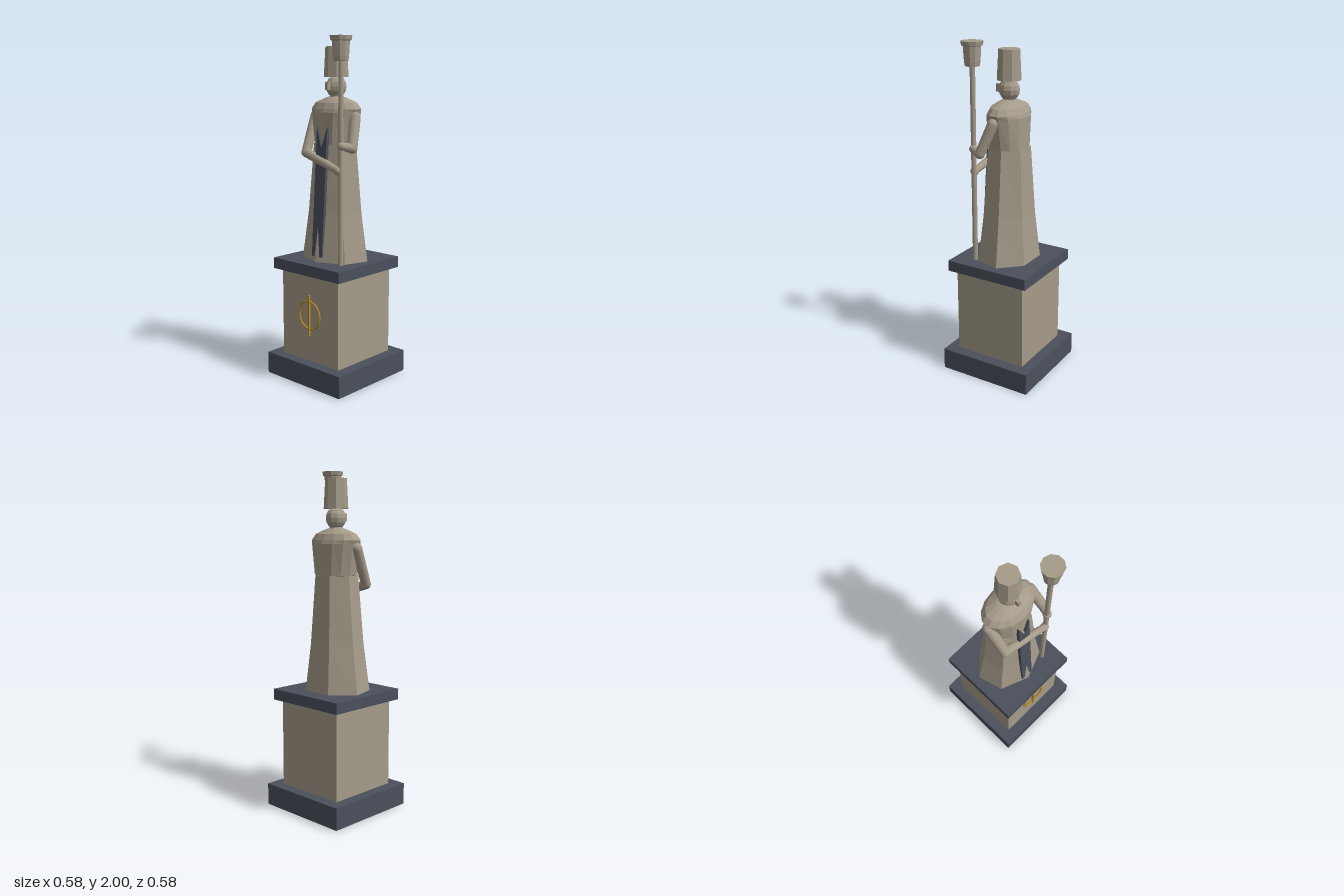
import * as THREE from 'three';

const stone = new THREE.MeshStandardMaterial({ color: 0xa59b8a });
stone.name = 'stone';
const slate = new THREE.MeshStandardMaterial({ color: 0x4b505c });
slate.name = 'slate';
const gold = new THREE.MeshStandardMaterial({ color: 0xb48a2a });
gold.name = 'gold';

// Faceted normals
function facet(geometry) {
  const g = geometry.index ? geometry.toNonIndexed() : geometry;
  g.computeVertexNormals();
  return g;
}

// Stacked elliptical rings [y, radius x, radius z], first corner facing +z
function rings(list, sides) {
  const g = new THREE.LatheGeometry(list.map(([y, rx]) => new THREE.Vector2(rx, y)), sides);
  const p = g.attributes.position;
  for (let i = 0; i < p.count; i++) {
    const [, rx, rz = rx] = list[i % list.length];
    if (rx > 0) p.setZ(i, p.getZ(i) * rz / rx);
  }
  return facet(g);
}

export function createModel() {
  const model = new THREE.Group();
  model.name = 'statue';

  function add(parent, name, geometry, material, x = 0, y = 0, z = 0) {
    const mesh = new THREE.Mesh(geometry, material);
    mesh.name = name;
    mesh.position.set(x, y, z);
    parent.add(mesh);
    return mesh;
  }
  function group(name) {
    const g = new THREE.Group();
    g.name = name;
    model.add(g);
    return g;
  }

  // Pedestal
  const pedestal = group('pedestal');
  const slab = (name, size, y0, y1, mat) =>
    add(pedestal, name, new THREE.BoxGeometry(size, y1 - y0, size), mat, 0, (y0 + y1) / 2, 0);
  slab('plinth', 0.585, 0, 0.13, slate);
  slab('block', 0.45, 0.13, 0.655, stone);
  slab('topSlab', 0.526, 0.655, 0.72, slate);

  // Ring and bar ornament on the front of the block
  const ornament = group('ornament');
  add(ornament, 'ornamentRing', new THREE.TorusGeometry(0.083, 0.006, 8, 32), gold, 0, 0.41, 0.23);
  add(ornament, 'ornamentBar', new THREE.BoxGeometry(0.011, 0.245, 0.014), gold, 0, 0.408, 0.231);

  // Robe, chest and shoulders
  const figure = group('figure');
  add(figure, 'robe', rings([
    [0.72, 0, 0], [0.72, 0.217, 0.177], [1.0, 0.174, 0.147], [1.4, 0.135, 0.122], [1.4, 0, 0],
  ], 7), stone);
  add(figure, 'chest', rings([
    [1.36, 0, 0], [1.4, 0.135, 0.112], [1.58, 0.163, 0.113], [1.6, 0.17, 0.106],
    [1.635, 0.142, 0.088], [1.662, 0.07, 0.05], [1.68, 0, 0],
  ], 14), stone);

  // Stole hanging down the front, notched at both ends
  const outline = [[-0.04, 1.5], [-0.04, 0.75], [-0.012, 0.75], [0, 0.9],
    [0.012, 0.75], [0.04, 0.75], [0.04, 1.5], [0, 1.38]];
  const stole = new THREE.ExtrudeGeometry(
    new THREE.Shape(outline.map(([x, y]) => new THREE.Vector2(x, y))),
    { depth: 0.02, bevelEnabled: false });
  const sp = stole.attributes.position;
  for (let i = 0; i < sp.count; i++) {
    const t = (sp.getY(i) - 0.75) / 0.75;
    sp.setZ(i, sp.getZ(i) - 0.02 + 0.166 - 0.047 * t);
  }
  add(figure, 'stole', facet(stole), slate);

  // Head, nose and tall hat
  add(figure, 'neck', new THREE.CylinderGeometry(0.035, 0.04, 0.04, 8), stone, 0, 1.67, 0);
  const head = facet(new THREE.SphereGeometry(0.058, 10, 8));
  head.scale(1, 1.12, 1.08);
  add(figure, 'head', facet(head), stone, 0, 1.725, 0);
  add(figure, 'nose', new THREE.BoxGeometry(0.02, 0.045, 0.03), stone, 0, 1.728, 0.067);
  add(figure, 'hat', rings([
    [1.778, 0], [1.778, 0.071], [1.95, 0.062], [1.95, 0],
  ], 8), stone);

  // Arms: tapered limbs with round joints
  function limb(name, a, b, ra, rb) {
    const from = new THREE.Vector3(...a), to = new THREE.Vector3(...b);
    const dir = to.clone().sub(from);
    const mesh = add(figure, name, new THREE.CylinderGeometry(rb, ra, dir.length(), 14), stone);
    mesh.position.copy(from).addScaledVector(dir, 0.5);
    mesh.quaternion.setFromUnitVectors(new THREE.Vector3(0, 1, 0), dir.normalize());
  }
  function arm(side, shoulder, elbow, hand) {
    limb(side + 'UpperArm', shoulder, elbow, 0.032, 0.029);
    limb(side + 'Forearm', elbow, hand, 0.029, 0.02);
    [['Shoulder', shoulder, 0.032], ['Elbow', elbow, 0.029], ['Hand', hand, 0.025]].forEach(
      ([joint, p, r]) => add(figure, side + joint, new THREE.SphereGeometry(r, 14, 10), stone, ...p));
  }
  arm('right', [-0.155, 1.555, 0.01], [-0.135, 1.345, 0.112], [0.145, 1.262, 0.143]);
  arm('left', [0.155, 1.555, 0.01], [0.192, 1.385, 0.075], [0.165, 1.4, 0.135]);

  // Staff with a flared finial
  const staff = group('staff');
  staff.position.set(0.162, 0, 0.136);
  add(staff, 'staffPole', new THREE.CylinderGeometry(0.015, 0.015, 1.16, 10), stone, 0, 1.3, 0);
  add(staff, 'staffFinial', rings([
    [1.865, 0], [1.865, 0.041], [1.89, 0.045], [1.972, 0.05], [1.976, 0.059], [2.0, 0.063], [2.0, 0],
  ], 10), stone);

  return model;
}
